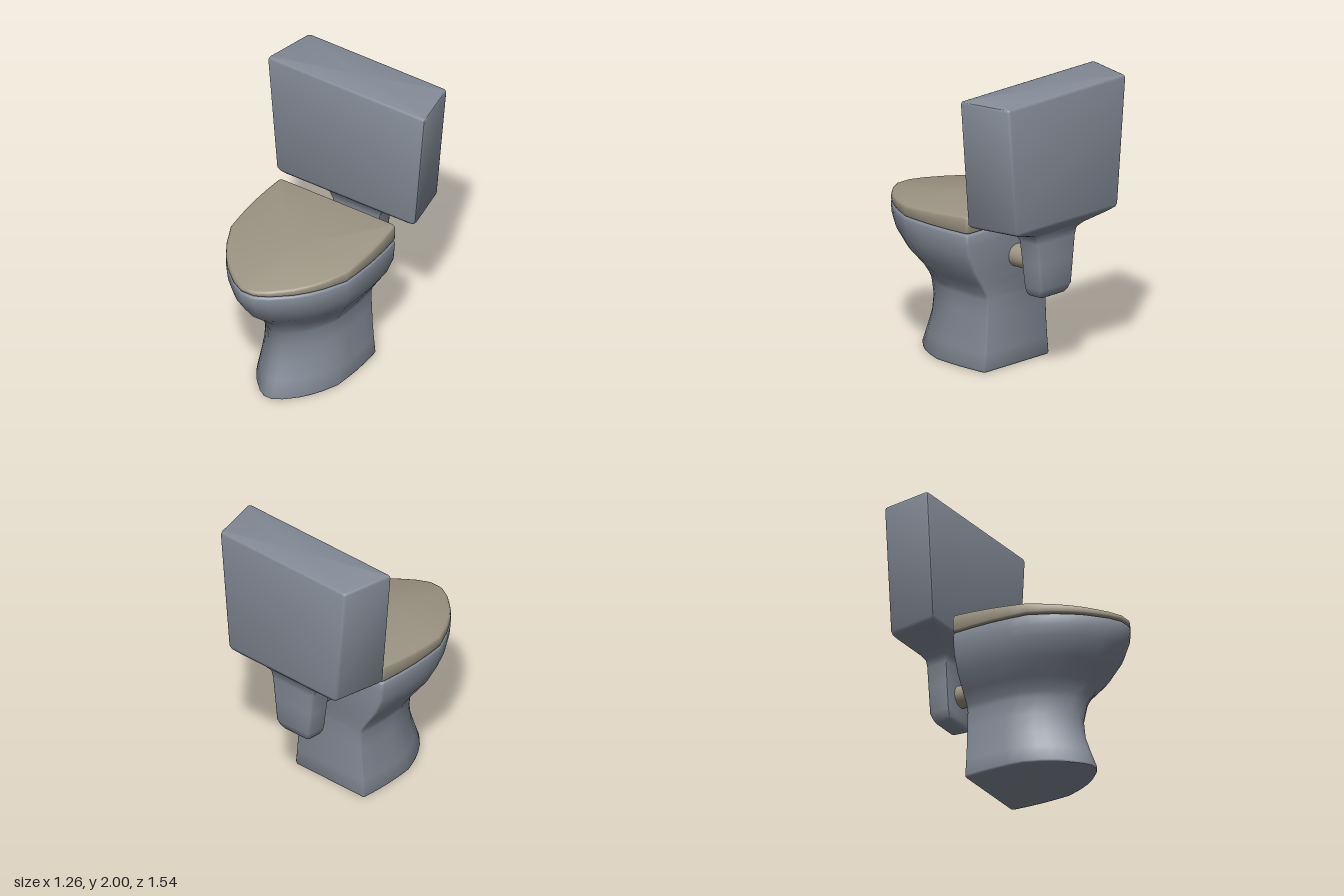
import * as THREE from 'three';
import { toCreasedNormals } from 'three/addons/utils/BufferGeometryUtils.js';

// Skin a stack of rings (bottom to top, each counter-clockwise from above) and cap both ends
function loft(rings, crease = 0.95) {
  const n = rings[0].length, pos = [], idx = [];
  for (const r of rings) for (const p of r) pos.push(...p);
  for (let i = 0; i < rings.length - 1; i++) {
    for (let j = 0; j < n; j++) {
      const a = i * n + j, b = i * n + (j + 1) % n;
      idx.push(a, b, b + n, a, b + n, a + n);
    }
  }
  const cap = (start, flip) => {
    const c = [0, 0, 0], k = pos.length / 3;
    for (let j = 0; j < n; j++) for (let d = 0; d < 3; d++) c[d] += pos[(start + j) * 3 + d] / n;
    pos.push(...c);
    for (let j = 0; j < n; j++) {
      const a = start + j, b = start + (j + 1) % n;
      idx.push(...(flip ? [k, b, a] : [k, a, b]));
    }
  };
  cap(0, true);
  cap((rings.length - 1) * n, false);
  const g = new THREE.BufferGeometry();
  g.setAttribute('position', new THREE.Float32BufferAttribute(pos, 3));
  g.setIndex(idx);
  return toCreasedNormals(g, crease);
}

// Half outline of the bowl rim, front to back
const BACK = -0.3, FRONT = 0.77, WIDTH = 0.487;
const half = [
  [0.05, 0.77], [0.14, 0.722], [0.205, 0.668], [0.27, 0.61], [0.34, 0.525], [0.4, 0.43],
  [0.47, 0.28], [0.482, 0.14], [0.487, 0.01], [0.482, -0.14], [0.47, -0.275], [0.465, -0.292], [0.45, -0.3],
];
const outline = [...half, ...half.map(([x, z]) => [-x, z]).reverse()];

// Outline scaled to a half width and front reach, with an optional inset; y is a number or a rule of z
function bowlRing(y, w, front, inset = 0) {
  const back = BACK + inset, reach = front - inset;
  return outline.map(([x, z]) => {
    const pz = back + (z - BACK) * (reach - back) / (FRONT - BACK);
    return [x * (w - inset) / WIDTH, typeof y === 'function' ? y(pz) : y, pz];
  });
}

// Trapezoid ring with bevelled corners
function tankRing(y, wFront, wBack, zFront, zBack, r = 0.02) {
  const corners = [[wFront, zFront], [wBack, zBack], [-wBack, zBack], [-wFront, zFront]]
    .map(c => new THREE.Vector2(...c));
  const ring = [];
  corners.forEach((c, i) => {
    const toPrev = corners[(i + 3) % 4].clone().sub(c).normalize();
    const toNext = corners[(i + 1) % 4].clone().sub(c).normalize();
    const a = c.clone().addScaledVector(toPrev, r), b = c.clone().addScaledVector(toNext, r);
    const m = a.clone().add(b).multiplyScalar(0.25).addScaledVector(c, 0.5);
    for (const p of [a, m, b]) ring.push([p.x, y, p.y]);
  });
  return ring;
}

export function createModel() {
  const grey = new THREE.MeshStandardMaterial({ color: 0x858c98 });
  grey.name = 'blue grey ceramic';
  const beige = new THREE.MeshStandardMaterial({ color: 0x9d9584 });
  beige.name = 'warm beige';

  const group = new THREE.Group();
  const add = (name, geometry, material) => {
    const mesh = new THREE.Mesh(geometry, material);
    mesh.name = name;
    group.add(mesh);
    return mesh;
  };

  // Bowl and foot: height, half width, front reach, inset
  add('bowl', loft([
    [0, 0.32, 0.53, 0.018], [0.005, 0.32, 0.53, 0.005], [0.018, 0.32, 0.527],
    [0.13, 0.307, 0.483], [0.25, 0.297, 0.44], [0.38, 0.29, 0.425], [0.5, 0.285, 0.455],
    [0.54, 0.297, 0.475], [0.62, 0.35, 0.52], [0.73, 0.425, 0.645], [0.85, 0.475, 0.735],
    [0.92, 0.482, 0.765], [0.982, 0.487, 0.772], [0.995, 0.487, 0.772, 0.005], [1.0, 0.487, 0.772, 0.018],
  ].map(r => bowlRing(...r))), grey);

  // Lid, thicker at the back
  const slope = drop => z => 1.106 - z * 0.0795 - drop;
  add('lid', loft([
    bowlRing(1.005, WIDTH, FRONT, 0.018), bowlRing(1.009, WIDTH, FRONT, 0.005), bowlRing(1.018, WIDTH, FRONT),
    bowlRing(slope(0.018), WIDTH, FRONT), bowlRing(slope(0.005), WIDTH, FRONT, 0.005),
    bowlRing(slope(0), WIDTH, FRONT, 0.018),
  ]), beige);

  // Tank narrowing into its lower stem: height, front and back half widths, front and back z
  add('tank', loft([
    [0.555, 0.11, 0.1, -0.535, -0.63], [0.562, 0.125, 0.115, -0.52, -0.643], [0.585, 0.14, 0.13, -0.515, -0.657],
    [0.625, 0.153, 0.143, -0.515, -0.672], [0.8, 0.175, 0.163, -0.513, -0.672],
    [0.95, 0.195, 0.18, -0.508, -0.672], [1.0, 0.215, 0.195, -0.5, -0.674], [1.03, 0.27, 0.24, -0.475, -0.695],
    [1.085, 0.505, 0.435, -0.41, -0.755], [1.1, 0.545, 0.468, -0.396, -0.768],
    [1.12, 0.562, 0.48, -0.39, -0.772], [1.98, 0.635, 0.557, -0.39, -0.772],
    [1.995, 0.631, 0.553, -0.395, -0.767], [2.0, 0.618, 0.54, -0.408, -0.754],
  ].map(r => tankRing(...r))), grey);

  // Pipe joining bowl and tank stem
  const pipe = add('pipe', new THREE.CylinderGeometry(0.078, 0.078, 0.28, 24), beige);
  pipe.rotation.x = Math.PI / 2;
  pipe.position.set(0, 0.765, -0.4);

  return group;
}
